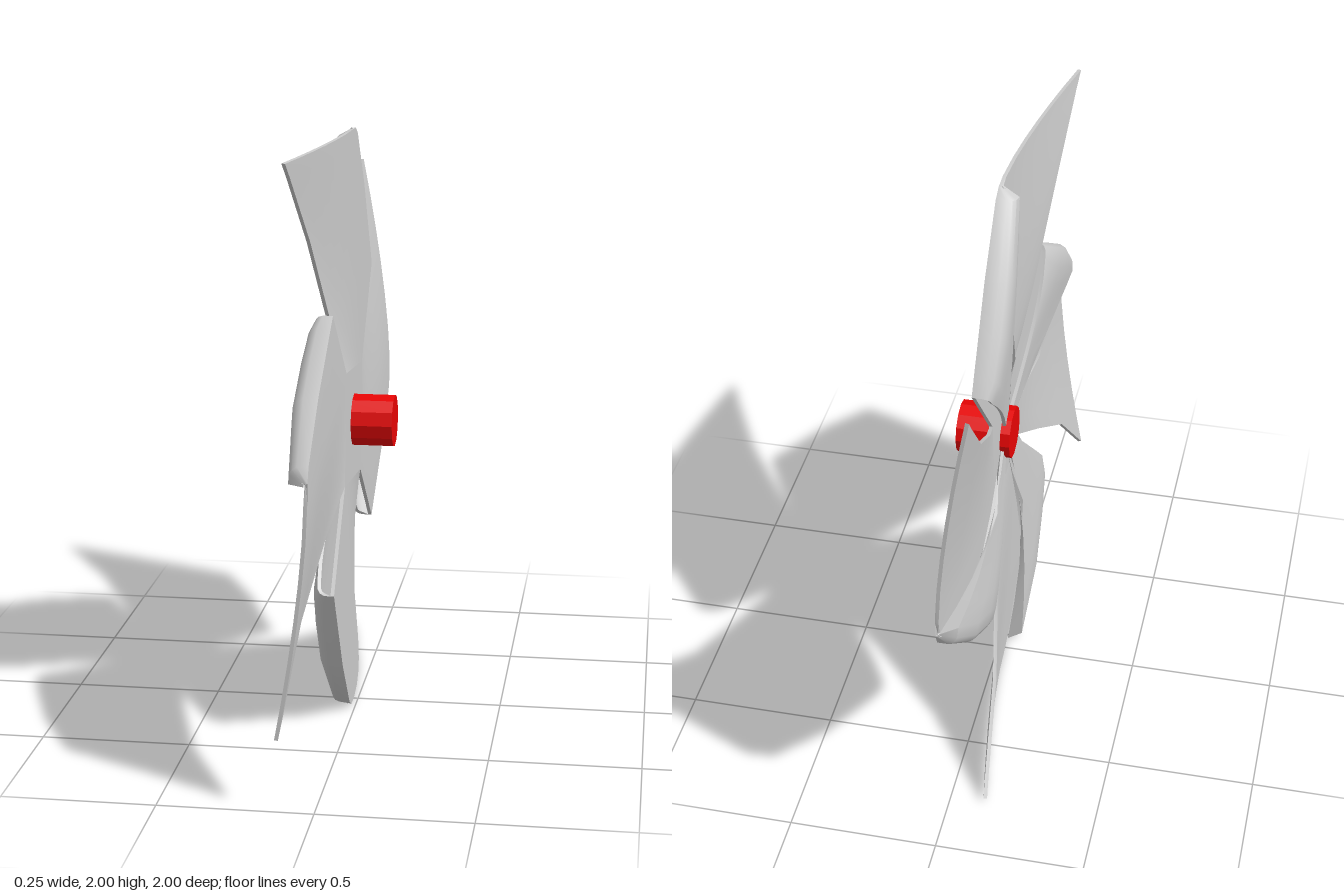
import * as THREE from 'three';
import { toCreasedNormals } from 'three/addons/utils/BufferGeometryUtils.js';

const FRONT = -0.015, BACK = -0.1, HUB_DEPTH = -0.035, THICK = 0.012;

// One pinwheel blade: trailing, middle and fold points as (z, y), plus trailing depth x and fold depth b
const ROWS = [
  { t: [0.17, 0.21], m: [-0.21, 0.17], f: [-0.465, 0.47], x: FRONT, b: -0.075 },
  { t: [0.20, 0.26], m: [-0.19, 0.25], f: [-0.435, 0.52], x: -0.025, b: -0.093 },
  { t: [0.29, 0.41], m: [-0.14, 0.46], f: [-0.365, 0.63], x: -0.05, b: BACK },
  { t: [0.48, 0.70], m: [-0.07, 0.75], f: [-0.27, 0.78], x: -0.085, b: BACK },
  { t: [0.72, 0.936], m: [-0.01, 0.95], f: [-0.105, 0.975], x: -0.108, b: -0.08 },
  { t: [0.77, 0.985], m: [0.0, 1.0], f: [-0.06, 0.997], x: -0.114, b: -0.027 },
];

// Fold profile: inset from the fold line, share of the fold depth
const FOLD = [[0, 0], [0, 0.55], [0.012, 0.8], [0.035, 0.95], [0.08, 1]];

function rowPoints({ t, m, f, x, b }) {
  const T = new THREE.Vector2(...t), M = new THREE.Vector2(...m), F = new THREE.Vector2(...f);
  const pts = [];
  const add = (p, depth) => pts.push(new THREE.Vector3(depth, p.y, p.x));
  // front sheet, bending back towards the trailing edge
  for (let i = 0; i < 6; i++) {
    const s = i / 6;
    add(T.clone().lerp(M, s), FRONT + (x - FRONT) * (1 - s) ** 1.5);
  }
  add(M, FRONT);
  // fold: crisp front edge, rounded at the back
  const d = F.clone().sub(M).normalize();
  const size = (b - FRONT) / (BACK - FRONT);
  for (const [inset, w] of FOLD) {
    add(F.clone().addScaledVector(d, -inset * size), THREE.MathUtils.lerp(FRONT, b, w));
  }
  // flap returning to the hub, bowed towards the fold
  const start = F.clone().addScaledVector(d, -0.08 * size);
  const end = F.clone().setLength(0.04);
  for (let i = 1; i <= 6; i++) {
    const s = i / 6, bow = Math.sin(Math.PI * s);
    const p = start.clone().lerp(end, s).addScaledVector(d, 0.06 * bow);
    add(p, THREE.MathUtils.lerp(b, HUB_DEPTH, s ** 1.5) - 0.5 * (b - BACK) * bow);
  }
  return pts;
}

function bladeGeometry() {
  const grid = ROWS.map(rowPoints);
  const n = grid[0].length, rows = grid.length, count = n * rows;
  const outer = grid.flat();
  const index = [];
  for (let i = 0; i < rows - 1; i++) {
    for (let j = 0; j < n - 1; j++) {
      const a = i * n + j, b = a + 1, c = a + n, e = c + 1;
      index.push(a, b, c, b, e, c);
    }
  }
  // inner skin: offset along the normals
  const skin = new THREE.BufferGeometry().setFromPoints(outer);
  skin.setIndex(index);
  skin.computeVertexNormals();
  const normal = new THREE.Vector3();
  const inner = outer.map((p, k) =>
    p.clone().addScaledVector(normal.fromBufferAttribute(skin.attributes.normal, k), -THICK));
  const all = index.slice();
  for (let k = 0; k < index.length; k += 3) {
    all.push(index[k] + count, index[k + 2] + count, index[k + 1] + count);
  }
  // rim joining the two skins
  const rim = [];
  for (let j = 0; j < n - 1; j++) rim.push(j);
  for (let i = 0; i < rows - 1; i++) rim.push(i * n + n - 1);
  for (let j = n - 1; j > 0; j--) rim.push((rows - 1) * n + j);
  for (let i = rows - 1; i > 0; i--) rim.push(i * n);
  rim.forEach((p, k) => {
    const q = rim[(k + 1) % rim.length];
    all.push(q, p, p + count, q, p + count, q + count);
  });
  const geo = new THREE.BufferGeometry().setFromPoints([...outer, ...inner]);
  geo.setIndex(all);
  return toCreasedNormals(geo, 0.8);
}

export function createModel() {
  const model = new THREE.Group();
  model.name = 'pinwheel';
  const grey = new THREE.MeshStandardMaterial({ color: 0xcccccc, side: THREE.DoubleSide });
  const red = new THREE.MeshStandardMaterial({ color: 0xe80404 });

  // four folded blades
  const geo = bladeGeometry();
  for (let k = 0; k < 4; k++) {
    const blade = new THREE.Mesh(geo, grey);
    blade.name = 'blade' + (k + 1);
    blade.position.y = 1;
    blade.rotation.x = (k * Math.PI) / 2;
    model.add(blade);
  }

  // uncut centre of the sheet
  const corner = new THREE.Vector2(0.17, 0.21);
  const square = new THREE.Shape();
  for (let k = 0; k < 4; k++) {
    const p = corner.clone().rotateAround(new THREE.Vector2(), (k * Math.PI) / 2);
    k ? square.lineTo(-p.x, p.y) : square.moveTo(-p.x, p.y);
  }
  const centre = new THREE.Mesh(
    new THREE.ExtrudeGeometry(square, { depth: THICK, bevelEnabled: false }), grey);
  centre.name = 'sheetCentre';
  centre.rotation.y = Math.PI / 2;
  centre.position.set(FRONT - THICK, 1, 0);
  model.add(centre);

  // hub pin through the centre
  const hubGeo = toCreasedNormals(new THREE.CylinderGeometry(0.09, 0.09, 0.185, 12), 0.4);
  const hub = new THREE.Mesh(hubGeo, red);
  hub.name = 'hubPin';
  hub.rotation.z = -Math.PI / 2;
  hub.position.set(0.0325, 1.008, -0.013);
  model.add(hub);

  return model;
}
